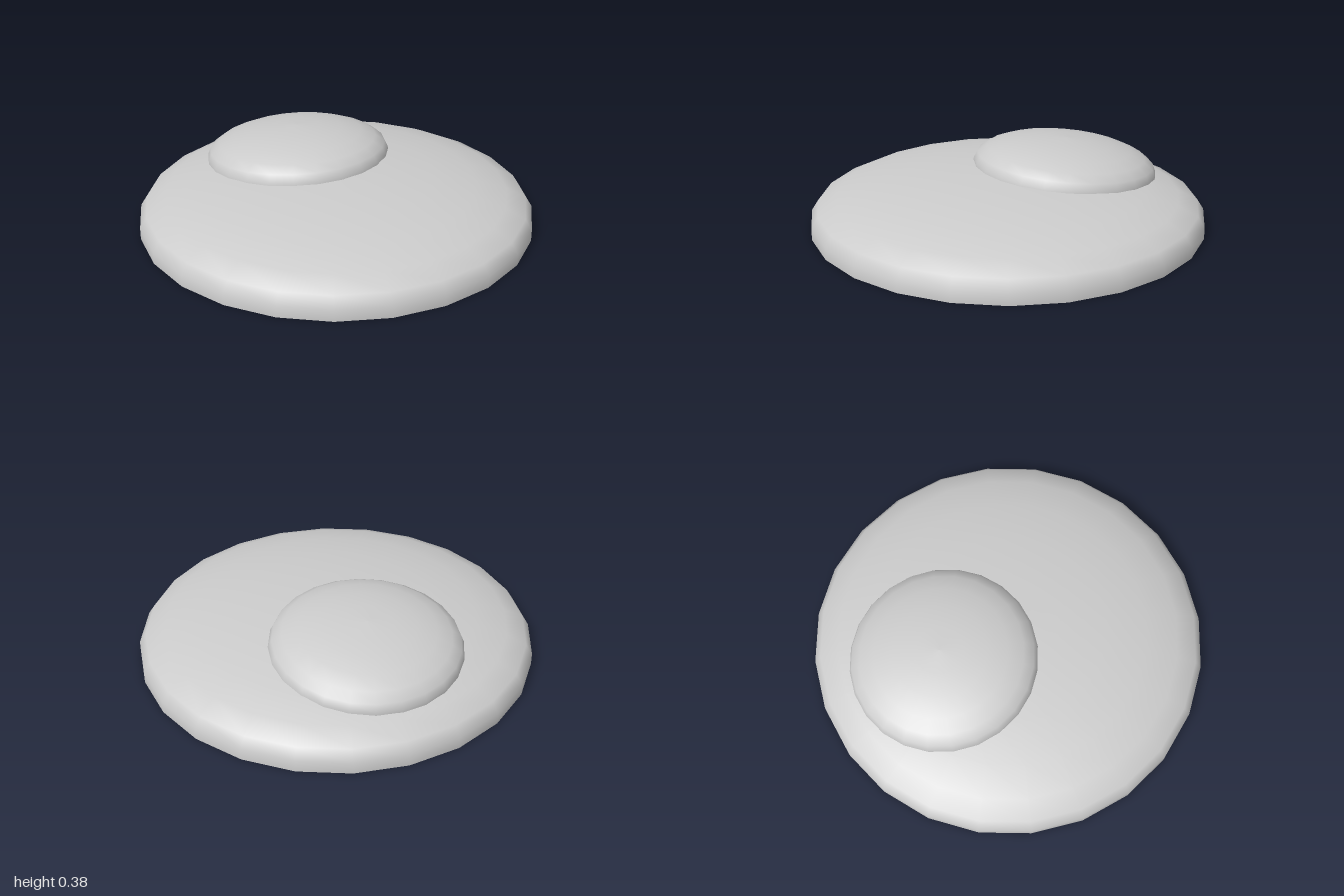
import * as THREE from 'three';

const SEGMENTS = 24;
const material = new THREE.MeshStandardMaterial({ color: 0xcccccc });

// Half ellipsoid on a short straight rim, closed underneath by a flat disc
function flattenedDome(name, radius, rim, height) {
  const profile = [new THREE.Vector2(radius, 0)];
  for (let i = 0; i <= 6; i++) {
    const a = (i / 6) * Math.PI / 2;
    profile.push(new THREE.Vector2(i === 6 ? 0 : radius * Math.cos(a), rim + height * Math.sin(a)));
  }
  const group = new THREE.Group();
  group.name = name;

  const shell = new THREE.Mesh(new THREE.LatheGeometry(profile, SEGMENTS), material);
  shell.name = name + 'Shell';

  const underside = new THREE.Mesh(new THREE.CircleGeometry(radius, SEGMENTS), material);
  underside.name = name + 'Underside';
  underside.rotation.x = Math.PI / 2;

  group.add(shell, underside);
  return group;
}

export function createModel() {
  const model = new THREE.Group();
  model.name = 'stackedDomes';

  // Wide, low base
  model.add(flattenedDome('base', 1, 0.06, 0.205));

  // Smaller dome, off centre and leaning with the slope of the base
  const rim = 0.03;
  const cap = flattenedDome('upperDome', 0.476, rim, 0.145);
  const normal = new THREE.Vector3(-0.068, 1, -0.068).normalize();
  cap.quaternion.setFromUnitVectors(new THREE.Vector3(0, 1, 0), normal);
  cap.position.set(-0.275, 0.232, -0.235).addScaledVector(normal, -rim);
  model.add(cap);

  return model;
}
